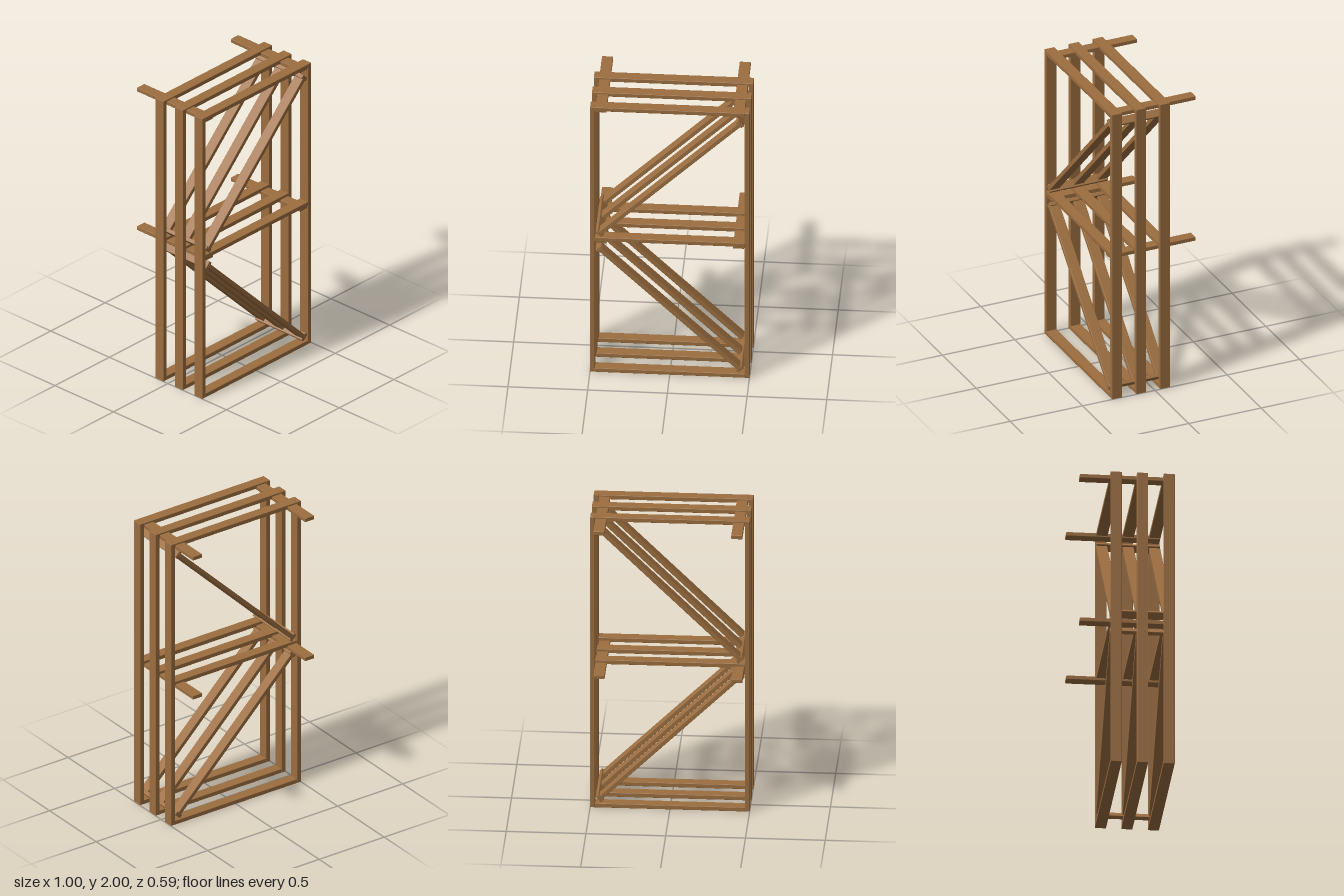
import * as THREE from 'three';
import { RoundedBoxGeometry } from 'three/addons/geometries/RoundedBoxGeometry.js';

export function createModel() {
  const model = new THREE.Group();
  model.name = 'timberRack';
  const wood = new THREE.MeshStandardMaterial({ color: 0x9c6e40 });
  wood.name = 'brown wood';

  // One plank with slightly eased edges
  function plank(name, parent, size, pos, tilt = 0) {
    const mesh = new THREE.Mesh(new RoundedBoxGeometry(...size, 1, 0.003), wood);
    mesh.name = name;
    mesh.position.set(...pos);
    mesh.rotation.z = tilt;
    parent.add(mesh);
  }

  const depth = 0.07;
  // End points of the upper and lower braces
  const braces = [
    { name: 'upper', a: [-0.44, 1.045], b: [0.44, 1.912] },
    { name: 'lower', a: [-0.44, 0.928], b: [0.44, 0.062] },
  ];

  // Three parallel frames: posts, rails and diagonal braces
  [0.261, 0.094, -0.072].forEach((z) => {
    const frame = new THREE.Group();
    frame.name = 'frame';
    for (const s of [-1, 1]) plank('post', frame, [0.03, 2, depth], [s * 0.485, 1, z]);
    for (const y of [0.014, 1.003, 1.986]) plank('rail', frame, [0.944, 0.028, depth], [0, y, z]);
    for (const { name, a, b } of braces) {
      const dx = b[0] - a[0], dy = b[1] - a[1];
      plank(name + 'Brace', frame, [Math.hypot(dx, dy), 0.028, depth],
        [(a[0] + b[0]) / 2, (a[1] + b[1]) / 2, z], Math.atan2(dy, dx));
    }
    model.add(frame);
  });

  // Cleats across the brace ends, tying the frames together
  for (const { name, a, b } of braces) {
    const tilt = Math.atan2(b[1] - a[1], b[0] - a[0]);
    for (const p of [a, b]) plank(name + 'Cleat', model, [0.025, 0.052, 0.4], [p[0], p[1], 0.094], tilt);
  }

  // Long bearers under the middle and top rails, reaching out at the back
  for (const y of [0.986, 1.976]) {
    for (const s of [-1, 1]) plank('bearer', model, [0.07, 0.026, 0.59], [s * 0.432, y, -0.002]);
  }
  return model;
}
